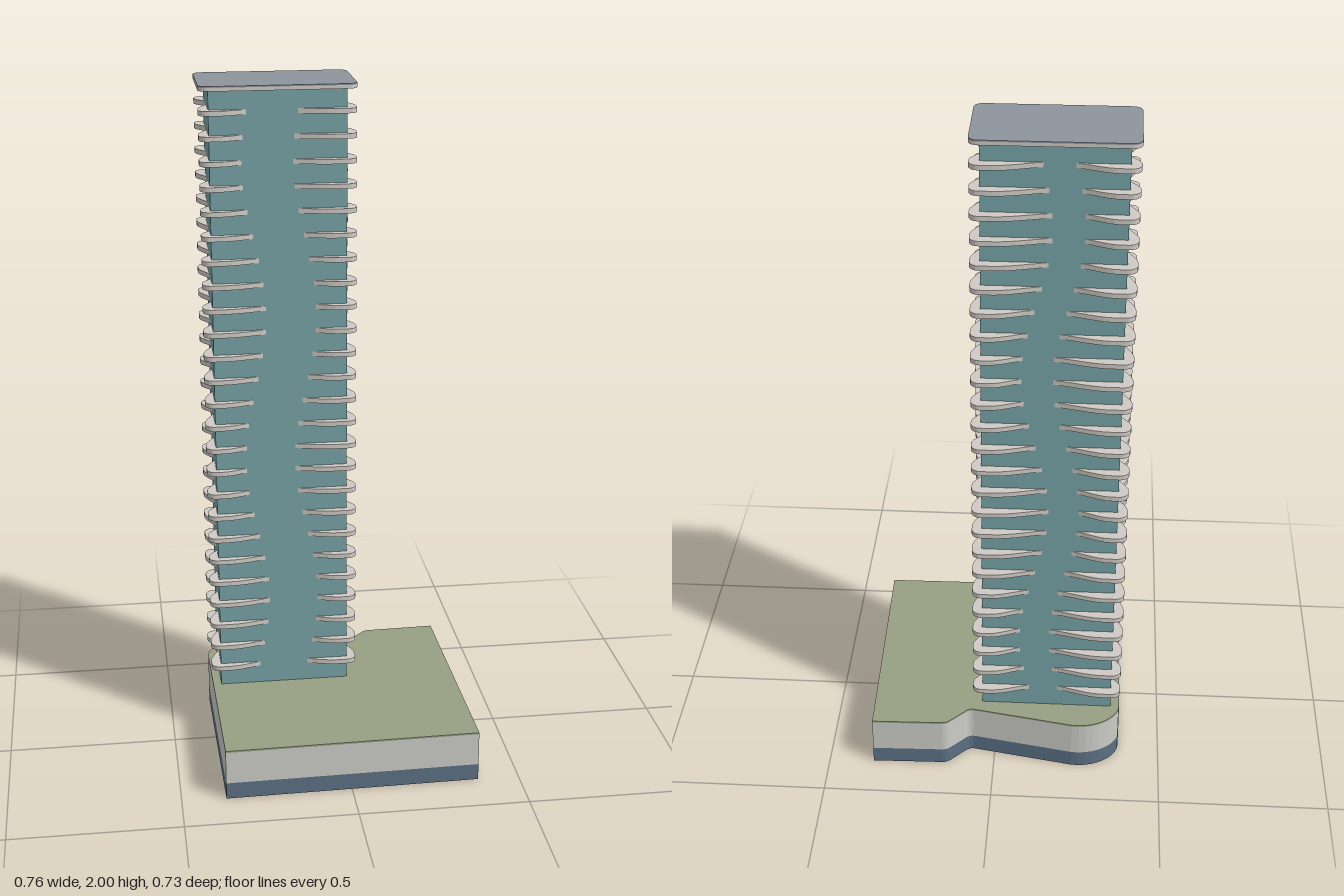
import * as THREE from 'three';

const paint = (color) => new THREE.MeshStandardMaterial({ color });

// Upright prism from a plan outline drawn in (x, -z)
function prism(name, shape, y, height, material) {
  const geometry = new THREE.ExtrudeGeometry(shape, { depth: height, bevelEnabled: false, curveSegments: 10 });
  geometry.rotateX(-Math.PI / 2);
  const mesh = new THREE.Mesh(geometry, material);
  mesh.name = name;
  mesh.position.y = y;
  return mesh;
}

// Site outline: straight on three sides, flowing curve along the back
function podiumShape() {
  const s = new THREE.Shape();
  s.moveTo(-0.37, -0.365);
  s.lineTo(0.378, -0.355);
  s.lineTo(0.366, 0.368);
  s.lineTo(0.16, 0.363);
  s.quadraticCurveTo(0.143, 0.363, 0.133, 0.352);
  s.lineTo(0.088, 0.304);
  s.quadraticCurveTo(0.077, 0.292, 0.06, 0.295);
  s.lineTo(-0.235, 0.351);
  s.bezierCurveTo(-0.31, 0.36, -0.377, 0.305, -0.377, 0.25);
  s.closePath();
  return s;
}

// Rounded slab whose sides sweep inwards by `depth`, lowest at a shifting centre
const SLAB = { cx: -0.155, cy: 0.157, w: 0.446, d: 0.256, r: 0.026 };
function slabShape(floor, depth) {
  const { cx, cy, w, d, r } = SLAB;
  const points = [];
  for (let side = 0; side < 4; side++) {
    const angle = side * Math.PI / 2;
    const [length, reach] = side % 2 ? [d, w / 2] : [w, d / 2];
    const place = (u, v) => points.push(new THREE.Vector2(
      cx + u * Math.cos(angle) - v * Math.sin(angle),
      cy + u * Math.sin(angle) + v * Math.cos(angle)));
    const centre = 0.5 + 0.13 * Math.sin(floor * 0.5 + side * 1.7);
    const steps = 20;
    for (let i = 0; i <= steps; i++) {
      const t = i / steps;
      const k = t < centre ? t / centre : (1 - t) / (1 - centre);
      const dip = depth * THREE.MathUtils.smoothstep(k, 0.15, 0.95);
      place((t - 0.5) * (length - 2 * r), -reach + dip);
    }
    // rounded corner to the next side
    for (let i = 1; i < 5; i++) {
      const a = -Math.PI / 2 + i * Math.PI / 10;
      place(length / 2 - r + r * Math.cos(a), -reach + r + r * Math.sin(a));
    }
  }
  return new THREE.Shape(points);
}

export function createModel() {
  const model = new THREE.Group();
  model.name = 'residentialTower';

  // Podium: dark glazed base, pale upper storey, planted roof
  const podium = new THREE.Group();
  podium.name = 'podium';
  const site = podiumShape();
  podium.add(
    prism('podiumBase', site, 0, 0.05, paint(0x5b7083)),
    prism('podiumWall', site, 0.05, 0.1, paint(0xcbcbc6)),
    prism('podiumGarden', site, 0.15, 0.005, paint(0x96a083)));
  model.add(podium);

  // Glass shaft
  const shaft = new THREE.Mesh(new THREE.BoxGeometry(0.39, 1.838, 0.204), paint(0x76a2a6));
  shaft.name = 'glassShaft';
  shaft.position.set(-0.155, 0.155 + 0.919, -0.153);
  model.add(shaft);

  // Balcony slabs on every floor
  const balconies = new THREE.Group();
  balconies.name = 'balconies';
  const slabMaterial = paint(0xcfcac4);
  const floors = 25;
  for (let i = 0; i < floors; i++) {
    balconies.add(prism('balcony' + (i + 1), slabShape(i, 0.034), 0.211 + i * 0.0711, 0.014, slabMaterial));
  }
  model.add(balconies);

  // Flat roof
  model.add(
    prism('roofSlab', slabShape(0, 0), 1.986, 0.01, slabMaterial),
    prism('roofDeck', slabShape(0, 0), 1.996, 0.004, paint(0x8d949c)));
  return model;
}
